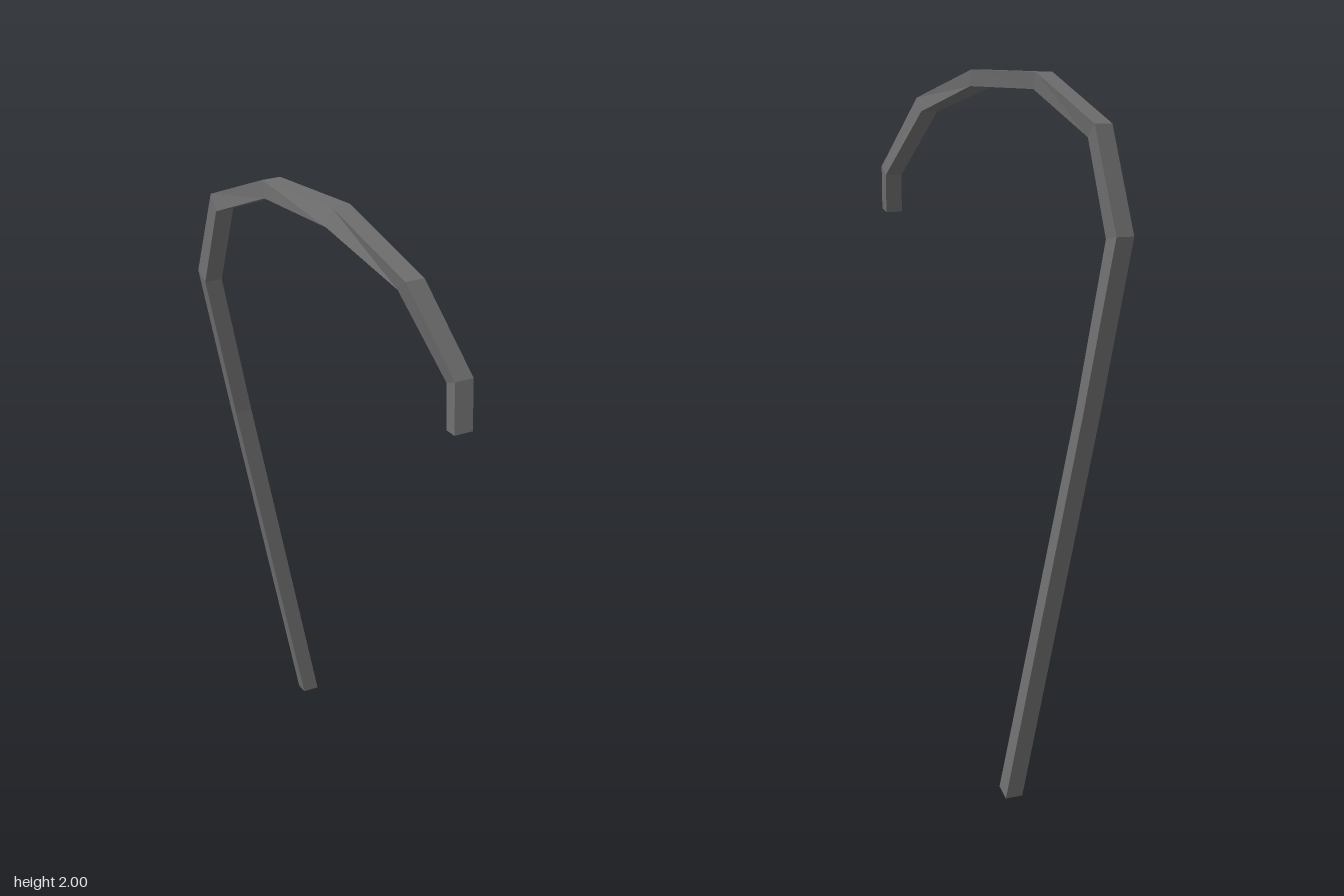
import * as THREE from 'three';

// Stations along the cane: [x centre, outer y, outer z, inner y, inner z, inner flare to -x]
const STATIONS = [
  [0.075, 0.0, -0.345, 0.015, -0.297, 0],
  [-0.08, 1.115, -0.487, 1.125, -0.443, 0],
  [-0.145, 1.58, -0.532, 1.57, -0.472, 0],
  [-0.13, 1.858, -0.427, 1.823, -0.388, 0],
  [-0.073, 1.99, -0.178, 1.945, -0.165, 0],
  [0.018, 2.0, 0.06, 1.955, 0.07, 0.02],
  [0.08, 1.925, 0.352, 1.885, 0.312, 0],
  [0.145, 1.72, 0.503, 1.695, 0.462, 0],
  [0.135, 1.59, 0.535, 1.581, 0.493, 0],
];
const HALF = 0.025;

// Square bar skinned through the stations, closed at both ends
function barGeometry(stations) {
  const positions = [];
  const index = [];
  const quad = (a, b, c, d) => index.push(a, b, c, a, c, d);

  stations.forEach(([x, oy, oz, iy, iz, flare]) => {
    positions.push(x + HALF, oy, oz, x - HALF, oy, oz);
    positions.push(x - HALF - flare, iy, iz, x + HALF, iy, iz);
  });

  for (let i = 0; i < stations.length - 1; i++) {
    for (let k = 0; k < 4; k++) {
      const n = (k + 1) % 4;
      quad(i * 4 + k, i * 4 + n, i * 4 + 4 + n, i * 4 + 4 + k);
    }
  }
  const end = (stations.length - 1) * 4;
  quad(3, 2, 1, 0);
  quad(end, end + 1, end + 2, end + 3);

  const geometry = new THREE.BufferGeometry();
  geometry.setAttribute('position', new THREE.Float32BufferAttribute(positions, 3));
  geometry.setIndex(index);
  const flat = geometry.toNonIndexed();
  flat.computeVertexNormals();
  return flat;
}

export function createModel() {
  const group = new THREE.Group();
  group.name = 'cane';
  const material = new THREE.MeshStandardMaterial({ color: 0x6e6e6e, flatShading: true });

  // Straight shaft running into the curved hook
  const bar = new THREE.Mesh(barGeometry(STATIONS), material);
  bar.name = 'shaftAndHook';
  group.add(bar);
  return group;
}
